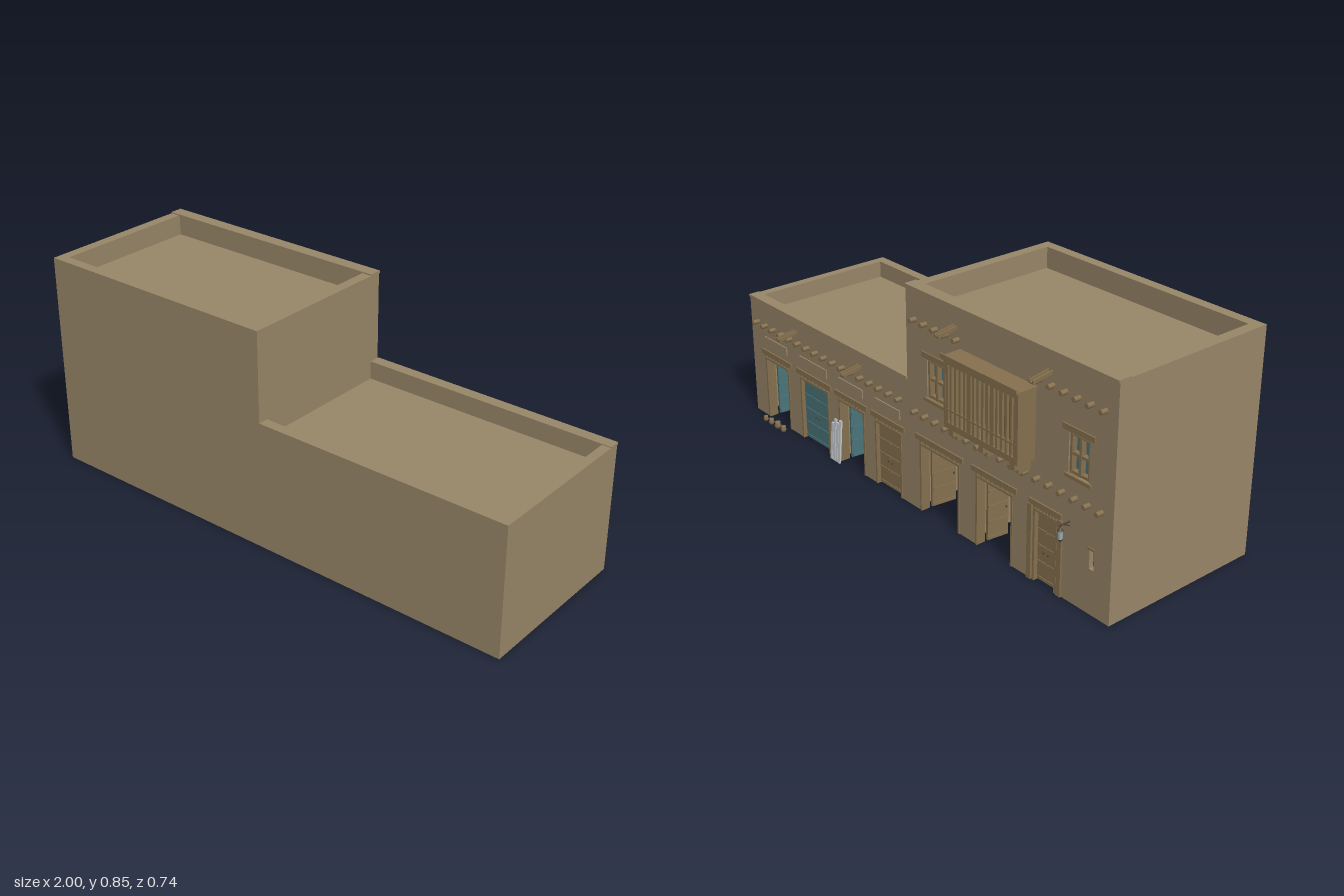
import * as THREE from 'three';

const mat = (name, color, side = THREE.FrontSide) => {
  const m = new THREE.MeshStandardMaterial({ color, side });
  m.name = name;
  return m;
};

export function createModel() {
  const root = new THREE.Group();
  root.name = 'adobeRowBuilding';
  const adobe = mat('adobe', 0x988668);
  const wood = mat('wood', 0x86714f);
  const darkWood = mat('darkWood', 0x6a573e);
  const teal = mat('tealPaint', 0x4b7479);
  const pale = mat('palePlanks', 0xc4c9cc);
  const glass = mat('glass', 0x9fb0b6);
  const iron = mat('iron', 0x4a4038);

  const F = -0.28; // street face of the facade wall
  const add = (geo, m, name, x = 0, y = 0, z = 0, parent = root) => {
    const mesh = new THREE.Mesh(geo, m);
    mesh.name = name;
    mesh.position.set(x, y, z);
    parent.add(mesh);
    return mesh;
  };
  // box given by its limits on each axis
  const box = (name, m, x0, x1, y0, y1, z0, z1, parent = root) =>
    add(new THREE.BoxGeometry(x1 - x0, y1 - y0, z1 - z0), m, name,
      (x0 + x1) / 2, (y0 + y1) / 2, (z0 + z1) / 2, parent);

  // street doorways: limits in x, height, kind of door
  const doors = [
    [-0.76, -0.65, 0.27, 'woodClosed'],
    [-0.55, -0.365, 0.27, 'woodOpen'],
    [-0.28, -0.065, 0.27, 'woodOpen'],
    [0.04, 0.195, 0.26, 'woodClosed'],
    [0.26, 0.42, 0.26, 'tealOpen'],
    [0.485, 0.672, 0.26, 'tealClosed'],
    [0.75, 0.912, 0.26, 'tealOpen'],
  ];
  const windows = [[-0.89, -0.80], [-0.20, -0.11]];
  const rect = (x0, x1, y0, y1) => {
    const p = new THREE.Path();
    p.moveTo(x0, y0); p.lineTo(x0, y1); p.lineTo(x1, y1); p.lineTo(x1, y0);
    p.closePath();
    return p;
  };

  // facade wall with notched doorways and window holes
  const s = new THREE.Shape();
  s.moveTo(-1, 0);
  for (const [a, b, h] of doors) {
    s.lineTo(a, 0); s.lineTo(a, h); s.lineTo(b, h); s.lineTo(b, 0);
  }
  s.lineTo(1, 0); s.lineTo(1, 0.49); s.lineTo(0, 0.49); s.lineTo(0, 0.835); s.lineTo(-1, 0.835);
  s.closePath();
  for (const [a, b] of windows) s.holes.push(rect(a, b, 0.46, 0.6));
  s.holes.push(rect(-0.925, -0.905, 0.165, 0.235));
  add(new THREE.ExtrudeGeometry(s, { depth: 0.04, bevelEnabled: false }), adobe, 'facadeWall', 0, 0, F);

  // outer walls
  box('tallBackWall', adobe, -1, 0, 0, 0.84, 0.33, 0.37);
  box('lowBackWall', adobe, 0, 1, 0, 0.497, 0.33, 0.37);
  box('tallEndWall', adobe, -1, -0.96, 0, 0.84, -0.24, 0.33);
  box('middleWall', adobe, -0.04, 0, 0, 0.84, -0.24, 0.33);
  box('lowEndWall', adobe, 0.965, 1, 0, 0.497, -0.24, 0.33);
  // roofs, ceilings and shop partitions
  box('tallRoof', adobe, -0.96, -0.04, 0.74, 0.76, -0.24, 0.33);
  box('lowRoof', adobe, 0, 0.965, 0.41, 0.43, -0.24, 0.33);
  box('tallCeiling', adobe, -0.96, -0.04, 0.31, 0.33, -0.24, 0.33);
  box('lowCeiling', adobe, 0, 0.965, 0.31, 0.33, -0.24, 0.33);
  for (const x of [-0.6, -0.32, 0.228, 0.453, 0.711])
    box('partition', adobe, x - 0.012, x + 0.012, 0, 0.31, -0.24, 0.33);
  // copings on the street parapets
  box('tallCoping', adobe, -1, 0, 0.835, 0.845, -0.285, -0.235);
  box('lowCoping', adobe, 0, 1, 0.49, 0.5, -0.285, -0.24);

  // one door leaf in its own group, hinged at local x = 0
  const leaf = (w, h, m) => {
    const g = new THREE.Group();
    g.name = 'doorLeaf';
    box('leafBoard', m, 0, w, 0.004, h, -0.005, 0.005, g);
    for (let i = 0; i < 5; i++) {
      const y = 0.008 + i * (h - 0.022) / 4;
      box('leafRail', m, 0.003, w - 0.003, y, y + 0.01, -0.008, 0.008, g);
    }
    for (const z of [-0.011, 0.011])
      add(new THREE.SphereGeometry(0.004, 8, 6), iron, 'doorKnob', w - 0.012, h * 0.45, z, g);
    root.add(g);
    return g;
  };
  for (const [a, b, h, kind] of doors) {
    const m = kind.startsWith('teal') ? teal : wood;
    const w = (b - a) / 2 - 0.008;
    const open = kind.endsWith('Open') ? 1.45 : 0;
    const l = leaf(w, h - 0.008, m), r = leaf(w, h - 0.008, m);
    l.position.set(a + 0.009, 0, open ? -0.238 : -0.263);
    r.position.set(b - 0.009, 0, open ? -0.238 : -0.263);
    l.rotation.y = -open;
    r.rotation.y = Math.PI + open;
    // frame, lintel, dentils and panel above
    box('doorJamb', wood, a, a + 0.008, 0, h, F - 0.003, F + 0.035);
    box('doorJamb', wood, b - 0.008, b, 0, h, F - 0.003, F + 0.035);
    box('doorHead', wood, a, b, h - 0.008, h, F - 0.003, F + 0.035);
    box('lintel', wood, a - 0.02, b + 0.02, h + 0.012, h + 0.032, F - 0.006, F + 0.005);
    for (let i = 0; i < 8; i++) {
      const x = a + 0.008 + i * (b - a - 0.016) / 7;
      box('dentil', wood, x - 0.004, x + 0.004, h + 0.004, h + 0.012, F - 0.005, F + 0.005);
    }
    if (a > 0) box('panelAbove', adobe, a + 0.005, b - 0.005, 0.315, 0.35, F - 0.005, F + 0.005);
  }
  // posts beside the narrow house door
  for (const x of [-0.775, -0.635]) box('doorPost', wood, x - 0.01, x + 0.01, 0, 0.28, F - 0.007, F + 0.005);

  // upper windows with glazing, shutters, bars and lintels
  for (const [a, b] of windows) {
    const c = (a + b) / 2;
    box('windowGlass', teal, a, b, 0.46, 0.6, -0.252, -0.247);
    for (const x of [a + 0.005, c, b - 0.005])
      box('windowBar', wood, x - 0.005, x + 0.005, 0.46, 0.6, -0.275, -0.255);
    for (const y of [0.465, 0.53, 0.595]) box('windowRail', wood, a, b, y - 0.005, y + 0.005, -0.273, -0.255);
    box('windowLintel', wood, a - 0.025, b + 0.025, 0.607, 0.627, F - 0.006, F + 0.005);
    box('windowSill', wood, a - 0.012, b + 0.012, 0.448, 0.46, F - 0.007, F + 0.01);
  }
  box('slitBack', darkWood, -0.925, -0.905, 0.165, 0.235, -0.262, -0.257);
  box('slitLintel', wood, -0.93, -0.90, 0.235, 0.243, F - 0.004, F + 0.005);

  // rows of round beam ends
  const beams = (x0, x1, n, y, skip) => {
    for (let i = 0; i < n; i++) {
      const x = x0 + (x1 - x0) * i / (n - 1);
      if (skip && x > -0.66 && x < -0.28) continue;
      add(new THREE.CylinderGeometry(0.009, 0.009, 0.04, 10), wood, 'beamEnd', x, y, F - 0.006).rotation.x = Math.PI / 2;
    }
  };
  beams(0.04, 0.95, 17, 0.4);
  beams(-0.95, -0.05, 17, 0.387);
  beams(-0.95, -0.05, 17, 0.73, true);

  // tilted roof spouts: floor and two sides
  for (const [x, y] of [[-0.71, 0.765], [-0.26, 0.765], [0.28, 0.434], [0.69, 0.434]]) {
    const g = new THREE.Group();
    g.name = 'roofSpout';
    box('spoutFloor', wood, -0.009, 0.009, -0.006, -0.001, -0.045, 0.045, g);
    for (const k of [-0.008, 0.008]) box('spoutSide', wood, k - 0.002, k + 0.002, -0.006, 0.007, -0.045, 0.045, g);
    g.position.set(x, y, -0.315);
    g.rotation.x = -0.15;
    root.add(g);
  }

  // enclosed balcony with slatted front
  const B0 = -0.65, B1 = -0.29, BZ = -0.355;
  box('balconyFloor', wood, B0, B1, 0.445, 0.457, BZ, F);
  box('balconyRoof', wood, B0 - 0.004, B1 + 0.004, 0.69, 0.7, -0.362, F);
  box('balconyRoofLip', wood, B0 - 0.004, B1 + 0.004, 0.698, 0.712, -0.368, -0.362);
  for (const x of [B0, B1 - 0.008]) box('balconySide', wood, x, x + 0.008, 0.457, 0.69, BZ, F);
  for (const [y0, y1] of [[0.457, 0.468], [0.51, 0.517], [0.675, 0.69]])
    box('balconyRail', wood, B0, B1, y0, y1, BZ, BZ + 0.01);
  for (let i = 0; i < 16; i++) {
    const x = B0 + 0.012 + i * (B1 - B0 - 0.024) / 15, r = i % 5 ? 0.005 : 0.009;
    box('balconySlat', wood, x - r, x + r, 0.457, 0.69, BZ + 0.001, BZ + 0.01);
  }
  box('balconyDoor', darkWood, -0.54, -0.4, 0.457, 0.655, F - 0.006, F + 0.002);
  for (const x of [-0.62, -0.47, -0.32]) {
    box('balconyBeam', wood, x - 0.012, x + 0.012, 0.418, 0.445, -0.35, F);
    box('balconyCorbel', wood, x - 0.01, x + 0.01, 0.4, 0.418, -0.33, F);
  }

  // hanging lantern on a bracket
  const LX = -0.815, LZ = -0.32;
  box('lanternArm', iron, LX - 0.002, LX + 0.002, 0.292, 0.296, -0.325, F);
  const brace = box('lanternBrace', iron, LX - 0.002, LX + 0.002, 0.284, 0.287, -0.307, F);
  brace.rotation.x = 0.5;
  box('lanternHook', iron, LX - 0.001, LX + 0.001, 0.285, 0.293, LZ - 0.001, LZ + 0.001);
  add(new THREE.CylinderGeometry(0.002, 0.011, 0.012, 6), iron, 'lanternCap', LX, 0.282, LZ);
  add(new THREE.CylinderGeometry(0.009, 0.008, 0.03, 6), glass, 'lanternGlass', LX, 0.261, LZ);
  add(new THREE.CylinderGeometry(0.009, 0.004, 0.008, 6), iron, 'lanternBase', LX, 0.242, LZ);

  // planks leaning on the wall
  [0.175, 0.16, 0.17, 0.15].forEach((h, i) => {
    const p = add(new THREE.BoxGeometry(0.013, h, 0.007), pale, 'leaningPlank', 0.405 + i * 0.016, h / 2, -0.293);
    p.rotation.x = 0.08;
  });

  // clay pots on the ground
  const profile = [[0, 0], [0.009, 0], [0.014, 0.012], [0.009, 0.021], [0.011, 0.026], [0, 0.024]]
    .map(([x, y]) => new THREE.Vector2(x, y));
  [[0.76, 0.9], [0.8, 1.05], [0.845, 0.9], [0.885, 0.8]].forEach(([x, k]) =>
    add(new THREE.LatheGeometry(profile, 8), wood, 'clayPot', x, 0, -0.315).scale.setScalar(k));

  return root;
}
